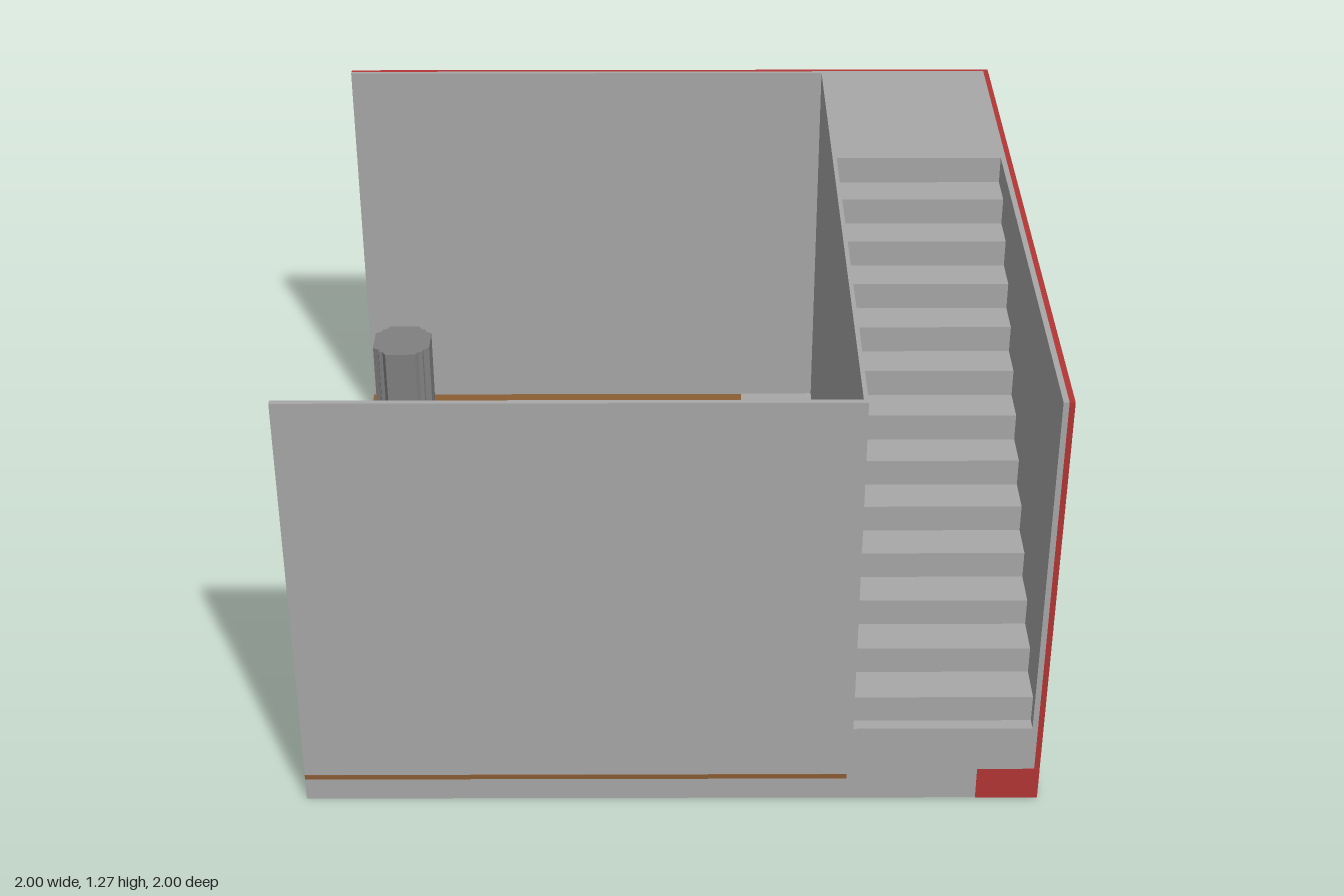
import * as THREE from 'three';

export function createModel() {
  const model = new THREE.Group();
  const material = (name, color) => new THREE.MeshStandardMaterial({ name, color });
  const plaster = material('light grey plaster', 0xa8a8a8);
  const red = material('red cladding', 0xb43636);
  const wood = material('brown floor', 0x8b5e34);
  const stone = material('dark grey stone', 0x808080);

  const add = (name, geometry, mat) => {
    const mesh = new THREE.Mesh(geometry, mat);
    mesh.name = name;
    model.add(mesh);
    return mesh;
  };
  // Box given by its lower and upper bounds on each axis
  const box = (name, mat, x0, x1, y0, y1, z0, z1) => {
    const mesh = add(name, new THREE.BoxGeometry(x1 - x0, y1 - y0, z1 - z0), mat);
    mesh.position.set((x0 + x1) / 2, (y0 + y1) / 2, (z0 + z1) / 2);
    return mesh;
  };
  const extrude = (points, depth) => new THREE.ExtrudeGeometry(
    new THREE.Shape(points.map(([x, y]) => new THREE.Vector2(x, y))),
    { depth, bevelEnabled: false });

  const top = 1.27, floorTop = 0.09;

  // Base and floor
  box('base', plaster, -1, 0.985, 0, 0.085, -0.988, 1);
  box('woodFloor', wood, -1, 0.478, 0.085, floorTop, -0.975, 0.985);

  // Walls with red outer cladding
  box('backWall', plaster, -1, 0.985, 0.085, top, -0.988, -0.975);
  box('backCladding', red, -1, 1, 0, top, -1, -0.988);
  box('rightWall', plaster, 0.97, 0.985, 0.085, top, -0.975, 1);
  box('rightCladding', red, 0.985, 1, 0, top, -0.988, 1);
  box('frontWall', plaster, -1, 0.478, 0.085, top, 0.985, 1);
  box('stairWall', plaster, 0.476, 0.488, 0.085, top, -0.975, 1);

  // Staircase and landing as one stepped profile along z
  const steps = 13, firstRiser = 0.965, run = 1.335 / (steps - 1), low = 0.24;
  const rise = (top - low) / steps;
  const profile = [[-1, 0.085], [-1, low]];
  for (let i = 0; i < steps; i++) {
    const z = firstRiser - i * run;
    profile.push([-z, low + i * rise], [-z, low + (i + 1) * rise]);
  }
  profile.push([0.975, top], [0.975, 0.085]);
  const stairs = add('stairsAndLanding', extrude(profile, 0.482), plaster);
  stairs.rotation.y = Math.PI / 2;
  stairs.position.x = 0.488;

  // Corner patch and thin trim on the front
  box('cornerPatch', red, 0.83, 1, 0, 0.1, 0.99, 1.001);
  box('floorEdgeTrim', wood, -1, 0.475, 0.068, 0.083, 0.995, 1.001);

  // Grey patches lying on the wooden floor
  const patch = add('floorPatch', extrude([
    [0.24, 0.975], [0.478, 0.975], [0.478, 0.31], [0.32, 0.31], [0.32, 0.86], [0.24, 0.86],
  ], 0.002), plaster);
  patch.rotation.x = -Math.PI / 2;
  patch.position.y = floorTop;
  [
    [0.19, 0.31, -0.85, -0.58], [0.22, 0.28, -0.58, -0.53], [0.11, 0.19, -0.765, -0.735],
    [0.19, 0.22, -0.48, -0.42], [0.27, 0.3, -0.42, -0.26], [0.315, 0.365, -0.26, -0.18],
    [0.39, 0.445, -0.26, -0.21],
  ].forEach(([x0, x1, z0, z1]) =>
    box('smallFloorPatch', plaster, x0, x1, floorTop, floorTop + 0.002, z0, z1));

  // Platform with a stepped, ribbed column
  const platformTop = 0.105;
  box('platform', stone, -1, -0.37, floorTop, platformTop, 0.36, 0.985);
  const outline = [];
  for (let i = 0; i < 4; i++) {
    const c = Math.round(Math.cos(i * Math.PI / 2)), s = Math.round(Math.sin(i * Math.PI / 2));
    [[0.072, -0.038], [0.072, 0.038], [0.058, 0.046], [0.056, 0.056], [0.046, 0.058]]
      .forEach(([x, y]) => outline.push([x * c - y * s, x * s + y * c]));
  }
  const column = add('column', extrude(outline, top - platformTop), stone);
  column.rotation.x = -Math.PI / 2;
  column.position.set(-0.695, platformTop, 0.69);

  return model;
}
